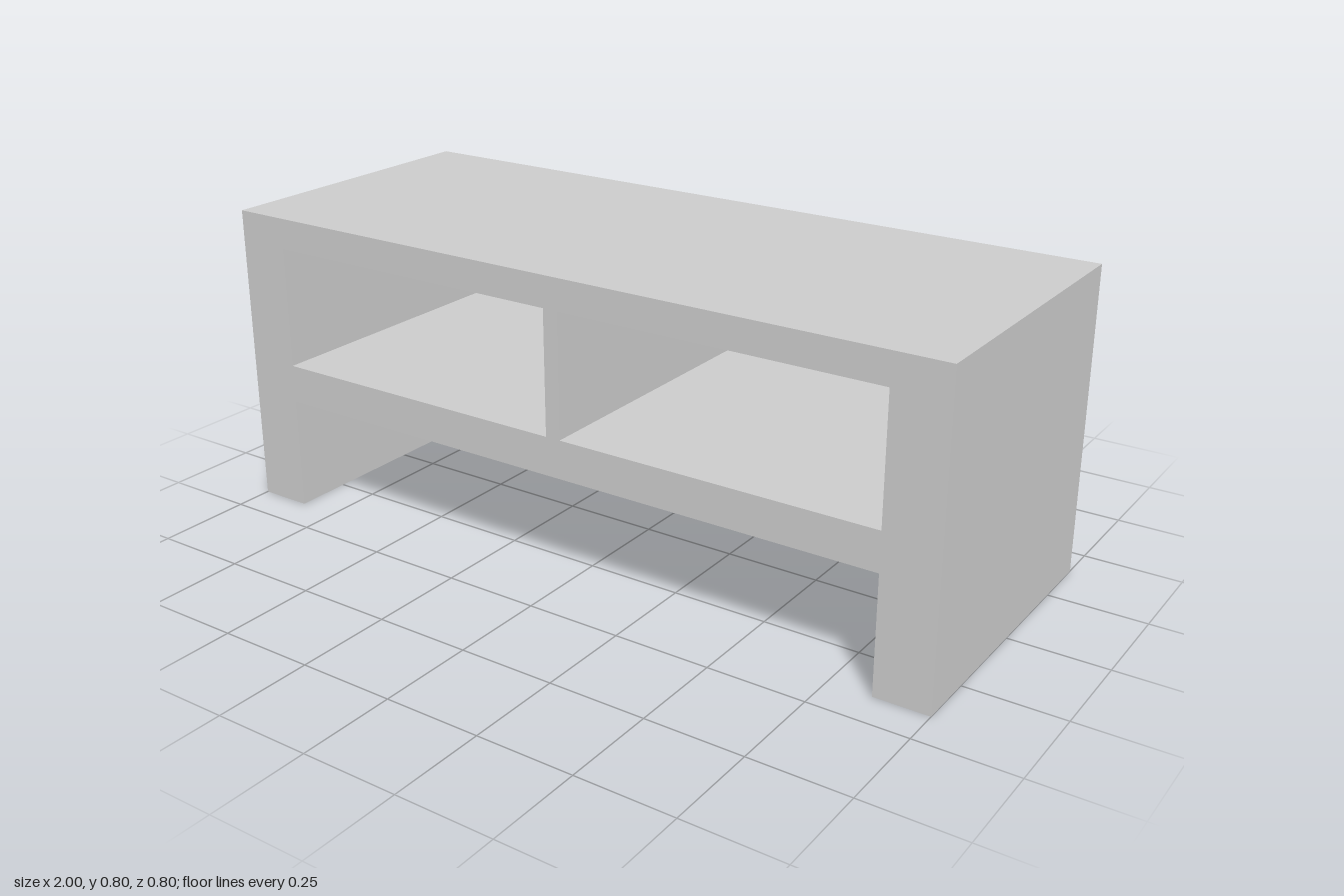
import * as THREE from 'three';
import { mergeGeometries } from 'three/addons/utils/BufferGeometryUtils.js';

const DEPTH = 0.8, BACK = 0.04;          // overall depth, back panel thickness
const LEG_IN = 0.86, UNDER = 0.3, TOP = 0.8;
const BAY = { inner: 0.02, bottom: 0.4, top: 0.72 };

const grey = () => new THREE.MeshStandardMaterial({ color: 0xcccccc });

function outline() {
  return new THREE.Shape([
    [-1, 0], [-LEG_IN, 0], [-LEG_IN, UNDER], [LEG_IN, UNDER],
    [LEG_IN, 0], [1, 0], [1, TOP], [-1, TOP],
  ].map(([x, y]) => new THREE.Vector2(x, y)));
}

// Only the walls of an extruded shape, without its caps
function walls(shape) {
  const g = new THREE.ExtrudeGeometry(shape, { depth: DEPTH, bevelEnabled: false });
  const { start, count } = g.groups[1];
  for (const name of ['position', 'normal', 'uv']) {
    const a = g.attributes[name], n = a.itemSize;
    g.setAttribute(name, new THREE.BufferAttribute(a.array.slice(start * n, (start + count) * n), n));
  }
  g.clearGroups();
  return g.translate(0, 0, -DEPTH / 2);
}

// Box seen from the inside, open towards +z
function lining(w, h, d) {
  const g = new THREE.BoxGeometry(w, h, d);
  const index = Array.from(g.index.array);
  index.splice(24, 6);                   // drop the front side
  g.setIndex(index.reverse());           // turn the faces inward
  g.clearGroups();
  const flat = g.toNonIndexed();
  flat.computeVertexNormals();
  return flat;
}

export function createModel() {
  const model = new THREE.Group();
  model.name = 'mediaBench';

  // Body: bench outline with two openings in the front and a closed back
  const front = outline();
  for (const [a, b] of [[-LEG_IN, -BAY.inner], [BAY.inner, LEG_IN]]) {
    front.holes.push(new THREE.Path([
      [a, BAY.bottom], [a, BAY.top], [b, BAY.top], [b, BAY.bottom],
    ].map(([x, y]) => new THREE.Vector2(x, y))));
  }
  const body = new THREE.Mesh(mergeGeometries([
    walls(outline()),
    new THREE.ShapeGeometry(front).toNonIndexed().translate(0, 0, DEPTH / 2),
    new THREE.ShapeGeometry(outline()).toNonIndexed().rotateY(Math.PI).translate(0, 0, -DEPTH / 2),
  ]), grey());
  body.name = 'body';
  model.add(body);

  // Open compartments either side of the thin divider
  const w = LEG_IN - BAY.inner, h = BAY.top - BAY.bottom;
  for (const side of [-1, 1]) {
    const bay = new THREE.Mesh(lining(w, h, DEPTH - BACK), grey());
    bay.name = side > 0 ? 'leftCompartment' : 'rightCompartment';
    bay.position.set(side * (BAY.inner + w / 2), BAY.bottom + h / 2, BACK / 2);
    model.add(bay);
  }
  return model;
}
